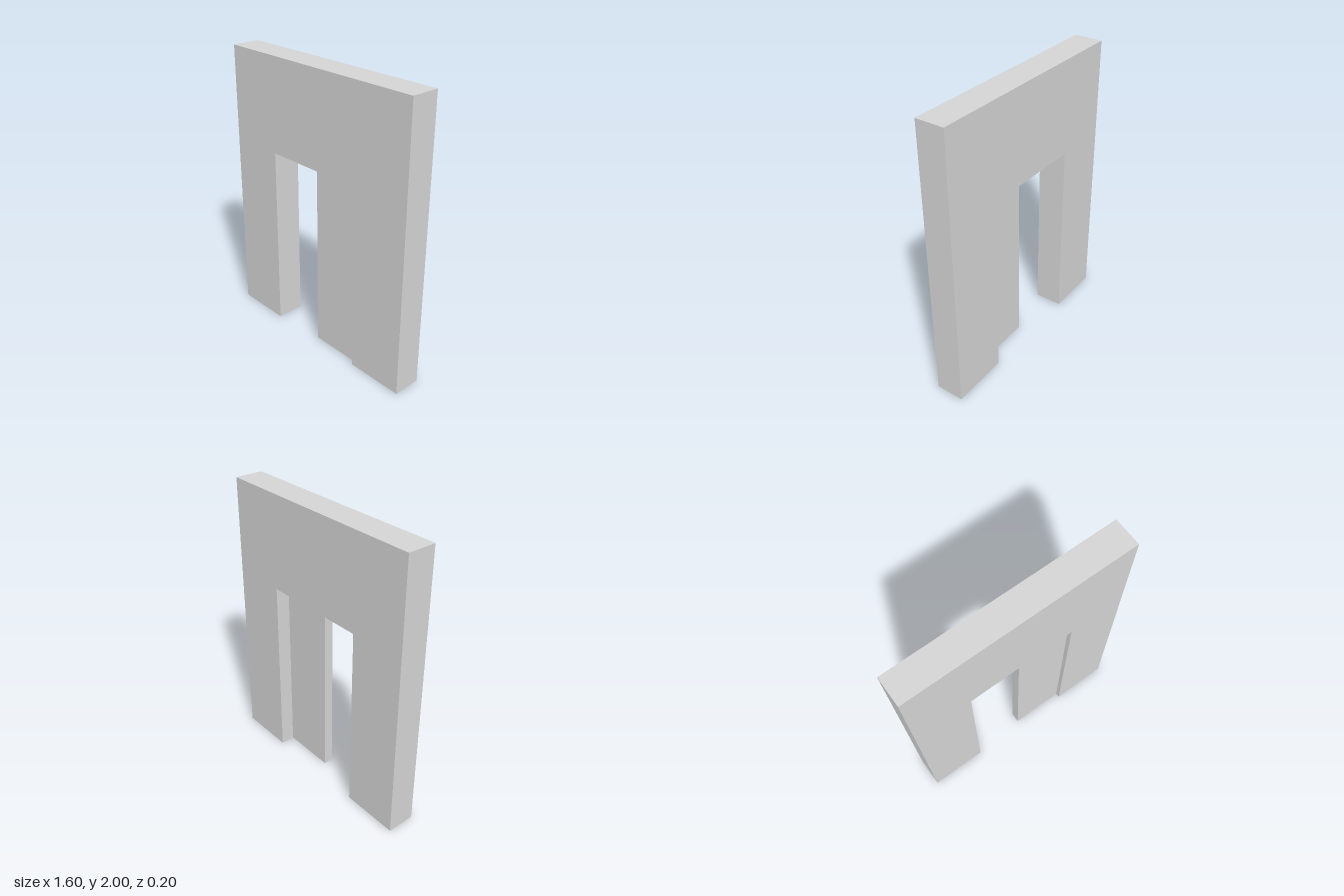
import * as THREE from 'three';

export function createModel() {
  const group = new THREE.Group();
  const grey = new THREE.MeshStandardMaterial({ color: 0xd4d4d4, side: THREE.DoubleSide });
  grey.name = 'light grey';

  const W = 0.8, H = 2, D = 0.2;         // wall half width, height, depth
  const opening = 0.39, pocket = 0.525;  // half widths of doorway and of the pocket behind its jambs
  const doorH = 1.33;

  const add = (name, geometry, x, y, z, parent = group) => {
    const mesh = new THREE.Mesh(geometry, grey);
    mesh.name = name;
    mesh.position.set(x, y, z);
    parent.add(mesh);
    return mesh;
  };

  // Wall: two posts joined by a header
  const outline = new THREE.Shape([
    [-W, 0], [-pocket, 0], [-pocket, doorH], [pocket, doorH],
    [pocket, 0], [W, 0], [W, H], [-W, H],
  ].map(([x, y]) => new THREE.Vector2(x, y)));
  add('wall', new THREE.ExtrudeGeometry(outline, { depth: D, bevelEnabled: false }), 0, 0, -D / 2);

  // Hollow door pockets, open at the bottom: front and back skins and a jamb
  const skinW = pocket - opening;
  for (const side of [-1, 1]) {
    const casing = new THREE.Group();
    casing.name = side > 0 ? 'leftPocket' : 'rightPocket';
    const skin = new THREE.PlaneGeometry(skinW, doorH);
    const x = side * (opening + skinW / 2);
    add('frontSkin', skin, x, doorH / 2, D / 2, casing);
    add('backSkin', skin, x, doorH / 2, -D / 2, casing).rotation.y = Math.PI;
    const jamb = add('jamb', new THREE.PlaneGeometry(D, doorH), side * opening, doorH / 2, 0, casing);
    jamb.rotation.y = -side * Math.PI / 2;
    group.add(casing);
  }

  // Sliding door, half open, running into the left pocket
  add('slidingDoor', new THREE.BoxGeometry(pocket, doorH, 0.067), pocket / 2, doorH / 2, 0.034);

  return group;
}
